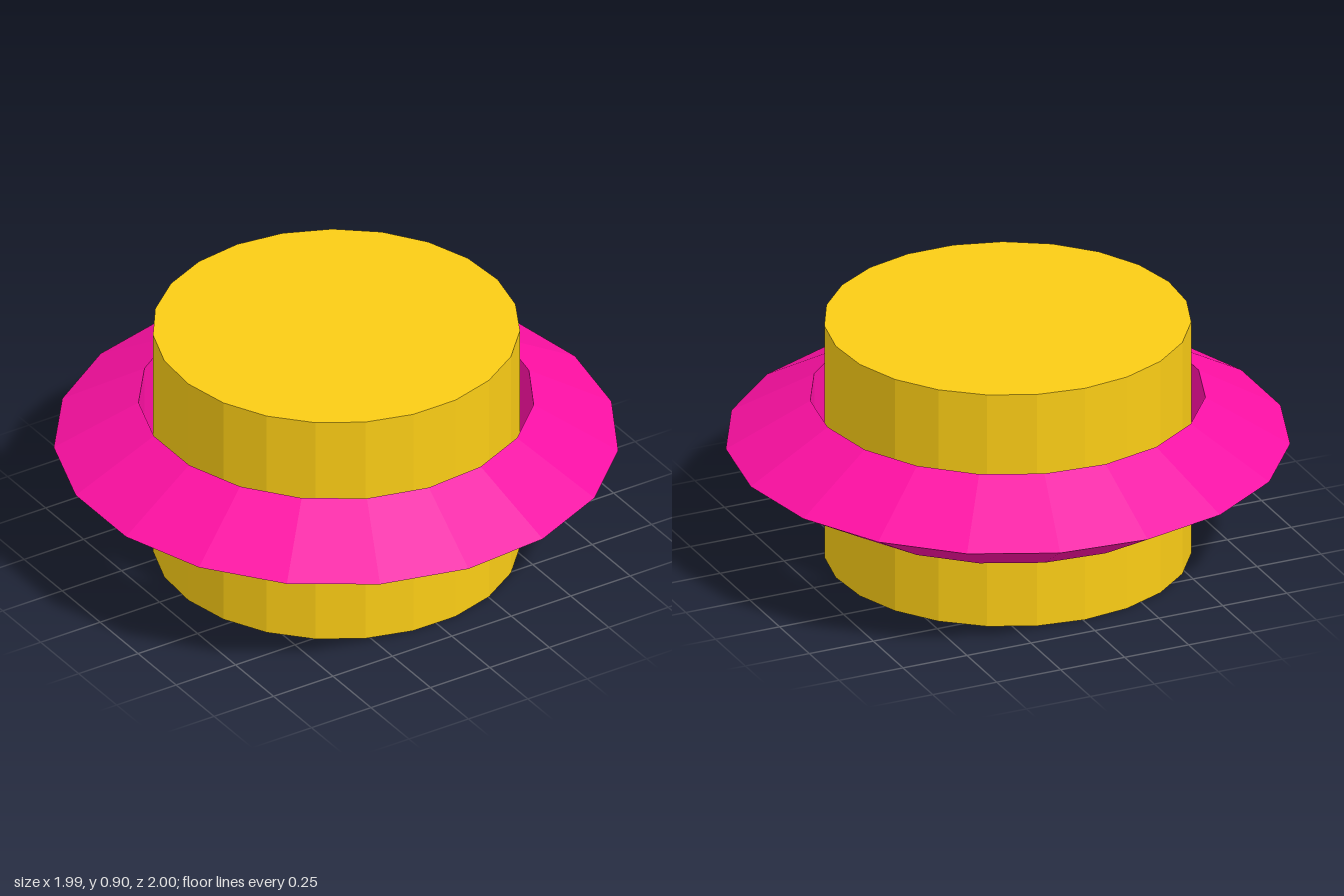
import * as THREE from 'three';

const flat = (color) => new THREE.MeshStandardMaterial({ color, flatShading: true });

export function createModel() {
  const model = new THREE.Group();
  model.name = 'ringedDrum';
  const axisX = -0.007; // the odd-sided ring reaches a little less far on -x

  // Solid 23-sided drum, one corner pointing to the back
  const drum = new THREE.Mesh(
    new THREE.CylinderGeometry(0.652, 0.652, 0.903, 23, 1, false, Math.PI),
    flat(0xfacc15)
  );
  drum.name = 'drum';
  drum.position.set(axisX, 0.4515, 0);
  model.add(drum);

  // Loose 19-sided ring with a triangular section, sharp edge outward
  const ring = new THREE.Mesh(
    new THREE.TorusGeometry(0.803, 0.2007, 3, 19),
    flat(0xff10a4)
  );
  ring.name = 'ring';
  ring.rotation.x = Math.PI / 2;
  ring.position.set(axisX, 0.442, 0);
  model.add(ring);

  return model;
}
